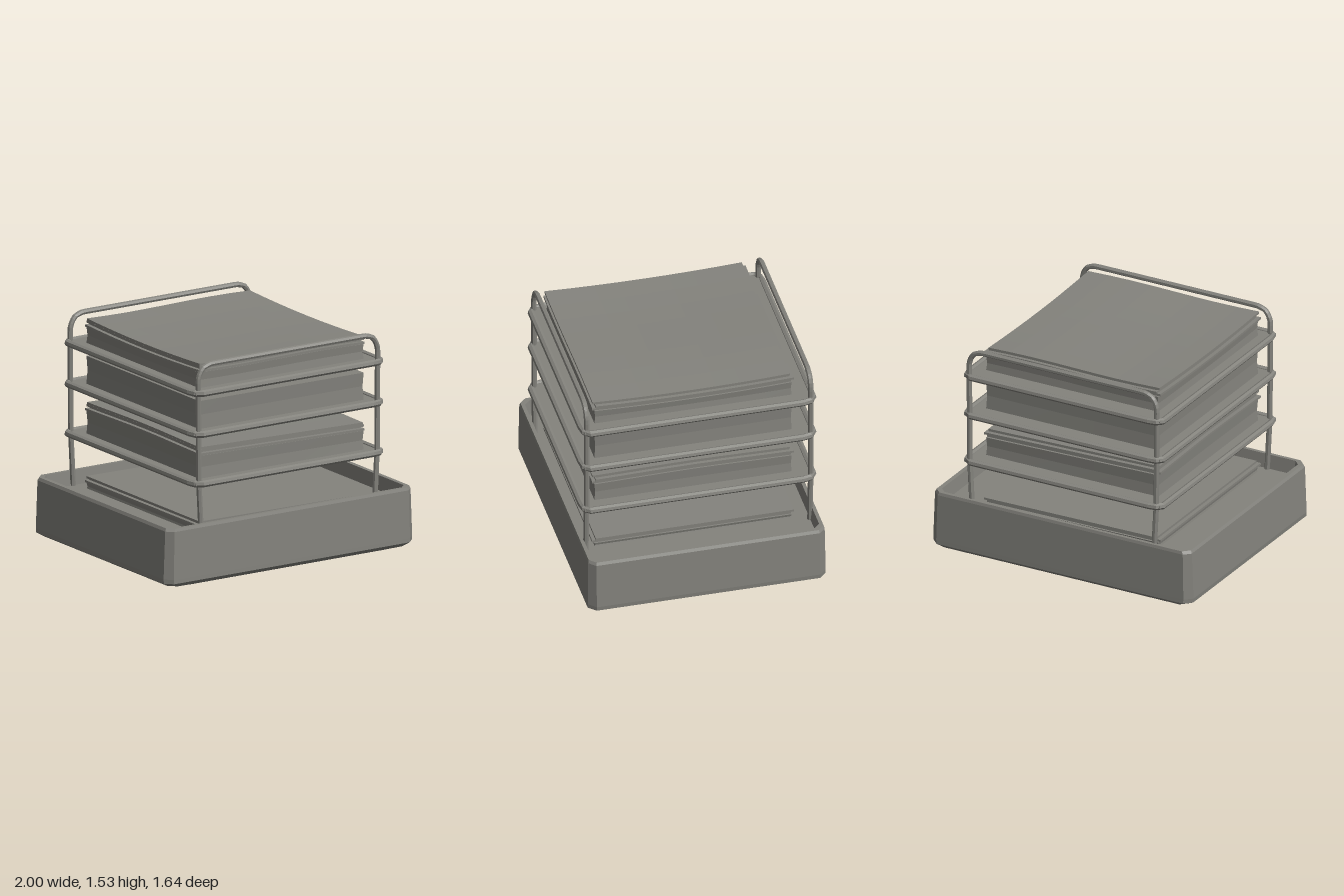
import * as THREE from 'three';

const grey = new THREE.MeshStandardMaterial({ color: 0x84837d, flatShading: true });
grey.name = 'warm grey';

function add(parent, name, geometry, x = 0, y = 0, z = 0) {
  const mesh = new THREE.Mesh(geometry, grey);
  mesh.name = name;
  mesh.position.set(x, y, z);
  parent.add(mesh);
  return mesh;
}

// Rectangle with cut corners, counter-clockwise seen from above
function cutRect(hx, hz, c) {
  return [[hx, hz - c], [hx, c - hz], [hx - c, -hz], [c - hx, -hz],
    [-hx, c - hz], [-hx, hz - c], [c - hx, hz], [hx - c, hz]];
}

// Skin through rings [halfX, halfZ, corner, y], closed at both ends
function loft(rings) {
  const pos = [], index = [], n = 8;
  for (const [hx, hz, c, y] of rings) {
    for (const [x, z] of cutRect(hx, hz, c)) pos.push(x, y, z);
  }
  for (let r = 0; r < rings.length - 1; r++) {
    for (let i = 0; i < n; i++) {
      const a = r * n + i, b = r * n + (i + 1) % n;
      index.push(a, b, b + n, a, b + n, a + n);
    }
  }
  const last = (rings.length - 1) * n;
  for (let i = 1; i < n - 1; i++) {
    index.push(0, i + 1, i, last, last + i, last + i + 1);
  }
  const g = new THREE.BufferGeometry();
  g.setAttribute('position', new THREE.Float32BufferAttribute(pos, 3));
  g.setIndex(index);
  g.computeVertexNormals();
  return g;
}

// Straight-sided tube path through points
function wire(points, radius, closed, segments) {
  const path = new THREE.CurvePath();
  const v = points.map(p => new THREE.Vector3(...p));
  if (closed) v.push(v[0].clone());
  for (let i = 0; i < v.length - 1; i++) path.add(new THREE.LineCurve3(v[i], v[i + 1]));
  return new THREE.TubeGeometry(path, segments, radius, 7, closed);
}

// Paper block whose top follows a height rule and whose sides wobble a little
function paper(w, d, y0, top, x, z, bow = 0) {
  const g = new THREE.BoxGeometry(w, 1, d, 8, 2, 8);
  const p = g.attributes.position;
  for (let i = 0; i < p.count; i++) {
    const px = p.getX(i), pz = p.getZ(i), t = p.getY(i) + 0.5;
    const k = 1 - bow * Math.sin(Math.PI * t);
    p.setXYZ(i, px * k + x, y0(px, pz) + t * (top(px, pz) - y0(px, pz)), pz * k + z);
  }
  g.computeVertexNormals();
  return g;
}

// Solid block with a few loose sheets following the same top surface
function stack(parent, name, bottom, top, sheets) {
  const group = new THREE.Group();
  group.name = name;
  const gap = 0.021;
  const body = (x, z) => top(x, z) - sheets * gap;
  add(group, 'paperBlock', paper(1.32, 1.36, () => bottom, body, -0.005, 0.02, 0.008));
  for (let i = 0; i < sheets; i++) {
    const low = (x, z) => body(x, z) + i * gap + 0.006;
    const high = (x, z) => body(x, z) + (i + 1) * gap;
    const s = i % 2 ? 1 : -1;
    add(group, 'looseSheets', paper(1.33 - 0.01 * i, 1.37 - 0.005 * i, low, high,
      -0.005 + 0.008 * s, 0.02 - 0.01 * s));
    // Narrow core closes the slit between sheets
    add(group, 'sheetCore', paper(1.29, 1.33, (x, z) => low(x, z) - 0.008, low, -0.005, 0.02));
  }
  parent.add(group);
}

export function createModel() {
  const model = new THREE.Group();
  model.name = 'paperTrayStand';

  // Deep base box with bevelled foot, thin rim and recessed floor
  add(model, 'base', loft([
    [0.80, 0.76, 0.04, 0], [0.95, 0.79, 0.05, 0.012], [0.995, 0.82, 0.05, 0.04],
    [0.998, 0.82, 0.05, 0.07], [0.985, 0.815, 0.045, 0.40], [0.975, 0.81, 0.045, 0.42],
    [0.945, 0.785, 0.04, 0.42], [0.935, 0.775, 0.04, 0.32],
  ]));

  // Three trays: floor plate inside a wire rim
  for (const y of [0.692, 1.036, 1.32]) {
    const tray = new THREE.Group();
    tray.name = 'tray';
    tray.position.y = y;
    add(tray, 'trayFloor', new THREE.BoxGeometry(1.5, 0.018, 1.58));
    const rim = cutRect(0.752, 0.795, 0.04).map(([x, z]) => [x, 0, z]);
    add(tray, 'trayRim', wire(rim, 0.023, true, 120));
    model.add(tray);
  }

  // Front and back hoops that carry the trays
  for (const z of [0.77, -0.775]) {
    const half = [[0.695, 0.31], [0.715, 0.7], [0.72, 1.41], [0.705, 1.46], [0.675, 1.495], [0.62, 1.51]];
    const pts = [...half.map(([x, y]) => [-x, y, z]),
      ...half.slice().reverse().map(([x, y]) => [x, y, z])];
    add(model, z > 0 ? 'frontHoop' : 'backHoop', wire(pts, 0.019, false, 132));
  }

  // Papers, lowest first
  stack(model, 'basePapers', 0.31, (x, z) => 0.395 - 0.01 * x, 2);
  stack(model, 'lowerPapers', 0.70, (x, z) => 0.912 - 0.022 * x + 0.005 * Math.cos(4 * z), 3);
  stack(model, 'middlePapers', 1.046, (x, z) => 1.237 - 0.004 * x, 0);
  stack(model, 'upperPapers', 1.33,
    (x, z) => 1.482 - 0.012 * x + 0.035 * z * z + 0.008 * Math.sin(4 * x), 3);

  return model;
}
